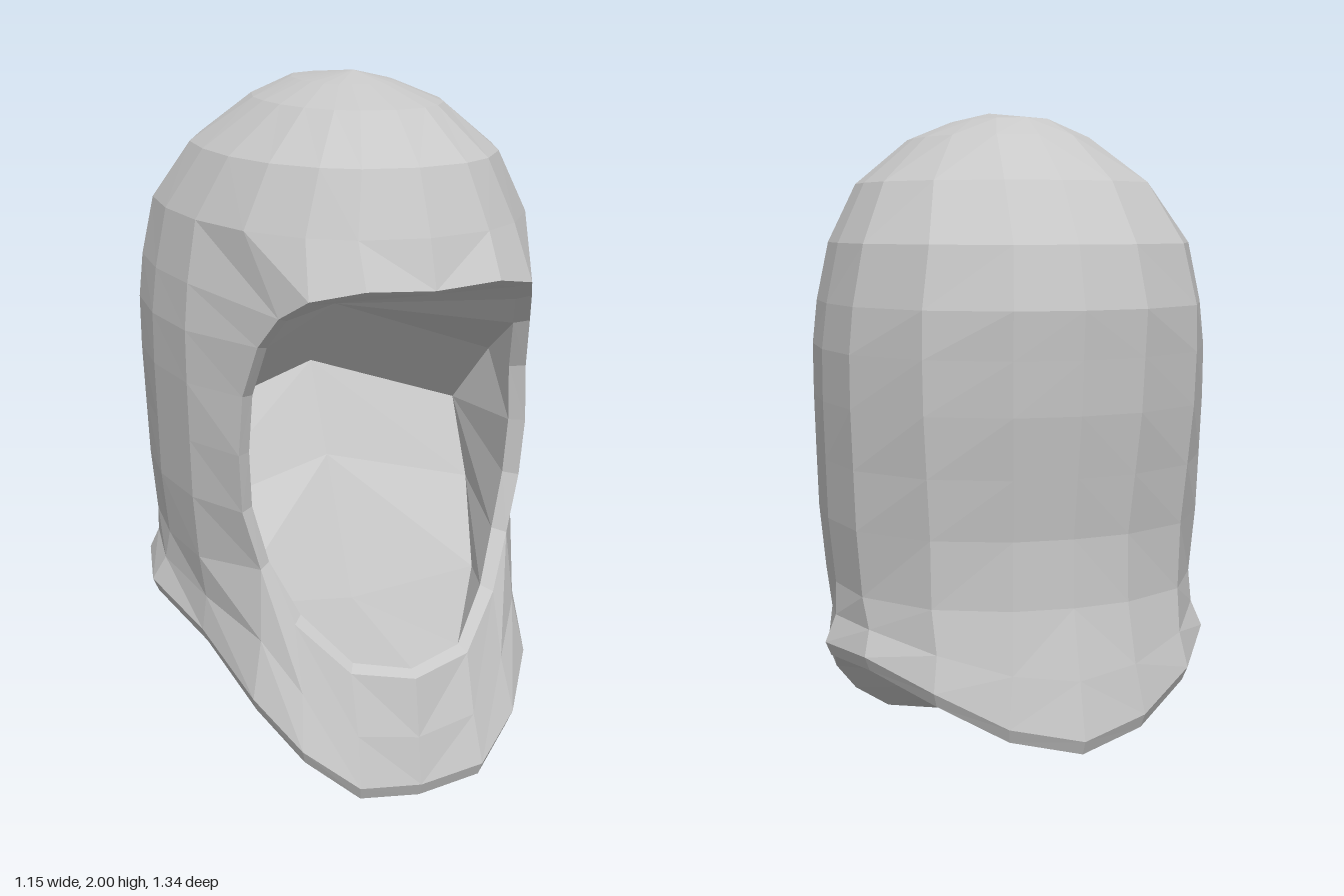
import * as THREE from 'three';

const COLS = [0, 15, 26, 42, 62, 85, 108, 135, 160, 180]; // degrees, front to back
const FACE = 3; // column that borders the face opening
const V = (x, y, z) => new THREE.Vector3(x, y, z);

// One half of a horizontal section: rounded outline from front to back
function section(y, w, front, back, zc = -0.1) {
  const n = 2.2;
  return COLS.map((deg) => {
    const a = THREE.MathUtils.degToRad(deg);
    const s = Math.sin(a), c = Math.cos(a);
    const d = c > 0 ? front - zc : zc - back;
    const r = (Math.pow(s / w, n) + Math.pow(Math.abs(c) / d, n)) ** (-1 / n);
    return V(deg === 180 ? 0 : r * s, y, zc + r * c);
  });
}

// Collects faces of the left half and mirrors them to the right
function halfBuilder() {
  const pos = [];
  const tri = (a, b, c) => {
    if (a.distanceTo(b) < 1e-6 || b.distanceTo(c) < 1e-6 || a.distanceTo(c) < 1e-6) return;
    for (const p of [a, b, c]) pos.push(p.x, p.y, p.z);
    for (const p of [a, c, b]) pos.push(-p.x, p.y, p.z);
  };
  const quad = (a, b, c, d) => { tri(a, b, c); tri(a, c, d); };
  const mesh = (name, material) => {
    const g = new THREE.BufferGeometry();
    g.setAttribute('position', new THREE.Float32BufferAttribute(pos, 3));
    g.computeVertexNormals(); // unshared corners give flat facets
    const m = new THREE.Mesh(g, material);
    m.name = name;
    return m;
  };
  return { tri, quad, mesh };
}

export function createModel() {
  const group = new THREE.Group();
  group.name = 'hood';
  const grey = new THREE.MeshStandardMaterial({ color: 0xc8c8c8 });
  grey.name = 'light grey cloth';

  // Flared hem, front to back
  const hem = [
    V(0, 0.04, 0.63), V(0.19, 0.07, 0.635), V(0.33, 0.17, 0.55), V(0.43, 0.29, 0.42),
    V(0.5, 0.41, 0.17), V(0.575, 0.475, -0.1), V(0.52, 0.485, -0.33),
    V(0.38, 0.42, -0.52), V(0.2, 0.33, -0.62), V(0, 0.29, -0.67),
  ];
  const hemUnder = hem.map((p) => V(p.x * 0.97, p.y - 0.04, p.z * 0.975));

  // Neck and head sections, upward
  const body = [
    section(0.64, 0.53, 0.65, -0.585),
    section(0.83, 0.55, 0.65, -0.58),
    section(1.0, 0.555, 0.66, -0.605),
    section(1.17, 0.56, 0.66, -0.63),
    section(1.32, 0.56, 0.67, -0.64),
    section(1.45, 0.545, 0.67, -0.65),
    section(1.62, 0.51, 0.63, -0.605),
    section(1.79, 0.415, 0.555, -0.485, -0.03),
    section(1.92, 0.25, 0.4, -0.31, 0.03),
    section(1.97, 0.13, 0.22, -0.22, 0.03),
    COLS.map(() => V(0, 2, 0.1)),
  ];

  // Face opening: chin, cheek and brow edges
  const chin = [V(0, 0.35, 0.58), V(0.18, 0.38, 0.54), V(0.31, 0.51, 0.44)];
  const cheek = [V(0.385, 0.66, 0.37), V(0.43, 0.83, 0.35), V(0.44, 1.0, 0.36),
    V(0.43, 1.17, 0.37), V(0.405, 1.32, 0.43), V(0.37, 1.41, 0.5)];
  const brow = [V(0, 1.49, 0.67), V(0.19, 1.5, 0.66), V(0.32, 1.47, 0.59)];
  chin.forEach((p, i) => { body[0][i] = p; });
  brow.forEach((p, i) => { body[5][i] = p; });
  cheek.forEach((p, j) => { body[j][FACE] = p; });

  // Waisted row between the hem and the neck
  const waist = hem.map((p, i) => {
    const q = p.clone().lerp(body[0][i], 0.45);
    q.x *= 0.97;
    return q;
  });

  // Outer shell, leaving the face open
  const rows = [hemUnder, hem, waist, ...body];
  const shell = halfBuilder();
  for (let j = 0; j < rows.length - 1; j++) {
    for (let i = 0; i < COLS.length - 1; i++) {
      if (i < FACE && j >= 3 && j < 8) continue;
      shell.quad(rows[j][i], rows[j][i + 1], rows[j + 1][i + 1], rows[j + 1][i]);
    }
  }
  group.add(shell.mesh('hoodShell', grey));

  // Lip turned in around the face opening, brow to chin
  const rim = [...brow, ...[...cheek].reverse(), ...[...chin].reverse()];
  const inner = rim.map((p) => V(p.x * 0.91, 0.95 + (p.y - 0.95) * 0.97, p.z - 0.03));
  const lip = halfBuilder();
  for (let k = 0; k < rim.length - 1; k++) {
    lip.quad(inner[k], inner[k + 1], rim[k + 1], rim[k]);
  }
  group.add(lip.mesh('faceLip', grey));

  // Hollow lining: middle and side lines of the back wall, downward
  const middle = [V(0, 1.3, -0.04), V(0, 1.07, -0.25), V(0, 0.8, -0.11), V(0, 0.4, 0.1)];
  const side = [V(0.52, 1.11, -0.04), V(0.5, 0.895, -0.25), V(0.48, 0.67, -0.1), V(0.4, 0.45, 0.12)];
  const lining = halfBuilder();
  // roof
  for (let k = 0; k < 4; k++) lining.tri(middle[0], inner[k + 1], inner[k]);
  lining.tri(middle[0], side[0], inner[4]);
  // back wall
  for (let k = 0; k < 3; k++) lining.quad(middle[k], middle[k + 1], side[k + 1], side[k]);
  // cheeks
  lining.tri(side[0], inner[5], inner[4]);
  lining.quad(side[0], side[1], inner[6], inner[5]);
  lining.tri(side[1], inner[7], inner[6]);
  lining.quad(side[1], side[2], inner[8], inner[7]);
  lining.quad(side[2], side[3], inner[9], inner[8]);
  // floor behind the chin
  lining.tri(side[3], inner[10], inner[9]);
  lining.quad(middle[3], inner[11], inner[10], side[3]);
  group.add(lining.mesh('faceLining', grey));

  // Closed underside
  const base = halfBuilder();
  const hub = V(0, 0.27, -0.02);
  for (let i = 0; i < COLS.length - 1; i++) base.tri(hub, hemUnder[i + 1], hemUnder[i]);
  group.add(base.mesh('underside', grey));

  return group;
}
